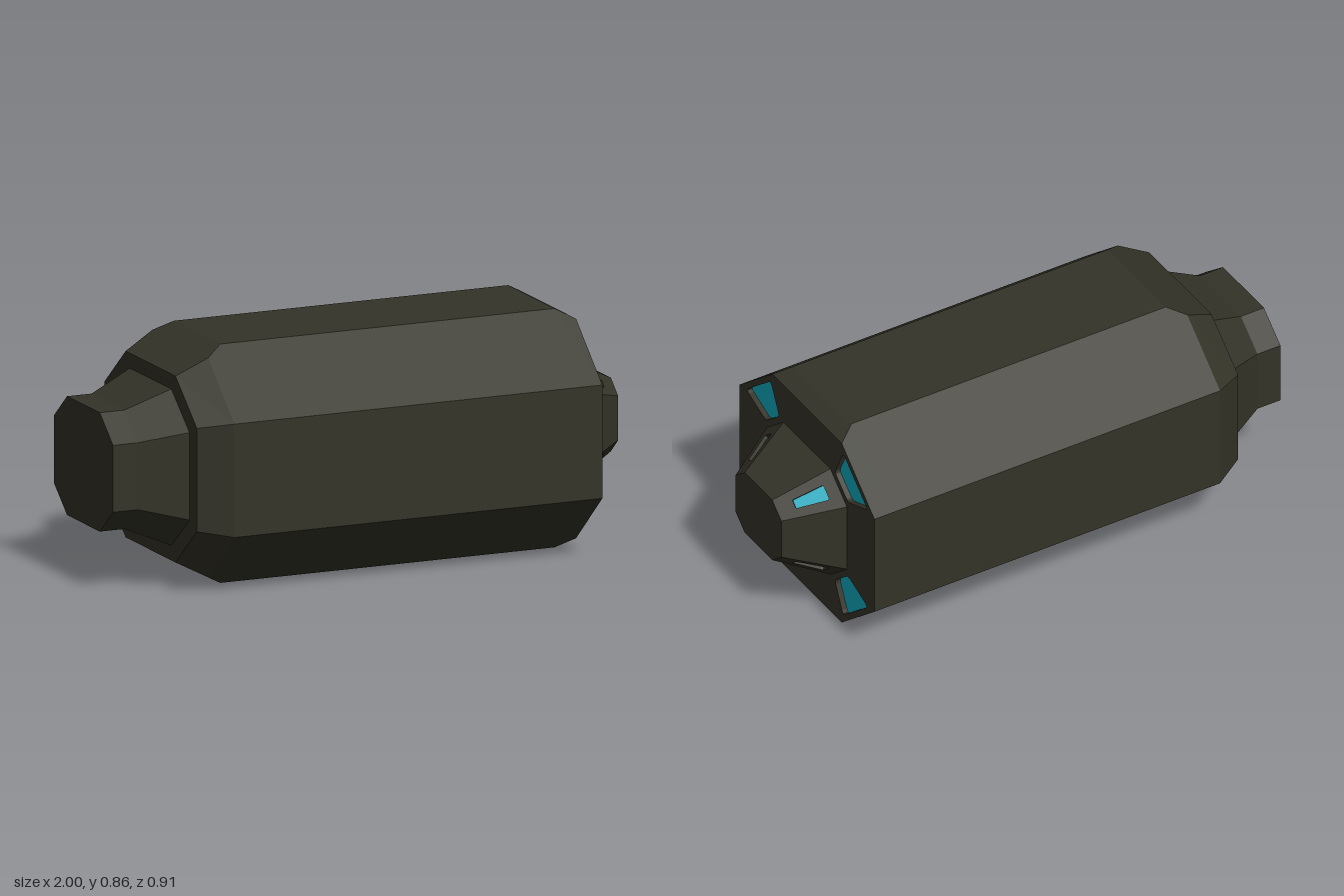
import * as THREE from 'three';

const CY = 0.433; // height of the long axis

// Eight corners of a section: half height H, half width W, top half width a, side half height b
function section([x, H, W, a, b]) {
  return [[H, a], [b, W], [-b, W], [-H, a], [-H, -a], [-b, -W], [b, -W], [H, -a]]
    .map(([y, z]) => new THREE.Vector3(x, CY + y, z));
}

function fromTriangles(points) {
  const g = new THREE.BufferGeometry().setFromPoints(points);
  g.computeVertexNormals();
  return g;
}

// Faceted hull through a row of sections, with optional end caps and open diagonal faces
function loft(rows, { backCap = false, frontCap = false, openDiagonals = false } = {}) {
  const rings = rows.map(section), tris = [];
  for (let r = 0; r < rings.length - 1; r++) {
    const A = rings[r], B = rings[r + 1];
    for (let i = 0; i < 8; i++) {
      if (openDiagonals && i % 2 === 0) continue;
      const j = (i + 1) % 8;
      tris.push(A[i], A[j], B[j], A[i], B[j], B[i]);
    }
  }
  const first = rings[0], last = rings[rings.length - 1];
  for (let i = 1; i < 7; i++) {
    if (backCap) tris.push(first[0], first[i + 1], first[i]);
    if (frontCap) tris.push(last[0], last[i], last[i + 1]);
  }
  return fromTriangles(tris);
}

// Closed outline with rounded corners
function rounded(pts, k) {
  const path = new THREE.Path();
  pts.forEach((p, i) => {
    const prev = pts[(i + pts.length - 1) % pts.length], next = pts[(i + 1) % pts.length];
    const r = k * Math.min(p.distanceTo(prev), p.distanceTo(next));
    const s = p.clone().add(prev.clone().sub(p).setLength(r));
    const e = p.clone().add(next.clone().sub(p).setLength(r));
    if (i === 0) path.moveTo(s.x, s.y); else path.lineTo(s.x, s.y);
    path.quadraticCurveTo(p.x, p.y, e.x, e.y);
  });
  path.closePath();
  const out = path.getPoints(4);
  if (out[0].distanceTo(out[out.length - 1]) < 1e-6) out.pop();
  return THREE.ShapeUtils.isClockWise(out) ? out.reverse() : out;
}

// Flat panel facing +x with sunken windows
function windowPanel(name, corners, windows, depth, hull, glass) {
  const group = new THREE.Group();
  group.name = name;
  const o = corners[0];
  const u = corners[1].clone().sub(o).normalize();
  const n = u.clone().cross(corners[2].clone().sub(o)).normalize();
  if (n.x < 0) n.negate();
  const v = n.clone().cross(u);
  const flat = p => { const d = p.clone().sub(o); return new THREE.Vector2(d.dot(u), d.dot(v)); };
  group.matrixAutoUpdate = true;
  group.quaternion.setFromRotationMatrix(new THREE.Matrix4().makeBasis(u, v, n));
  group.position.copy(o);

  const add = (part, geo, mat) => {
    const m = new THREE.Mesh(geo, mat);
    m.name = part;
    group.add(m);
    return m;
  };
  const face = new THREE.Shape(corners.map(flat));
  for (const w of windows) {
    const rim = rounded(w.map(flat), 0.14), walls = [];
    face.holes.push(new THREE.Path(rim));
    rim.forEach((p, i) => {
      const q = rim[(i + 1) % rim.length];
      const [a, b, c, d] = [[p, 0], [q, 0], [q, -depth], [p, -depth]]
        .map(([t, z]) => new THREE.Vector3(t.x, t.y, z));
      walls.push(a, b, c, a, c, d);
    });
    add('windowRim', fromTriangles(walls), hull);
    add('window', new THREE.ShapeGeometry(new THREE.Shape(rim)), glass).position.z = -depth;
  }
  add('panel', new THREE.ShapeGeometry(face), hull);
  return group;
}

export function createModel() {
  const model = new THREE.Group();
  model.name = 'capsule';
  const hull = new THREE.MeshStandardMaterial({ color: 0x343328 });
  hull.name = 'dark olive hull';
  const glass = new THREE.MeshStandardMaterial({ color: 0x10a8bc });
  glass.name = 'cyan glass';
  const add = (name, geo) => {
    const m = new THREE.Mesh(geo, hull);
    m.name = name;
    model.add(m);
  };

  // Main octagonal body, bevelled at both ends
  const bodyEnd = [0.8, 0.397, 0.456, 0.235, 0.205];
  add('body', loft([
    [-0.74, 0.337, 0.39, 0.21, 0.187],
    [-0.625, 0.397, 0.456, 0.235, 0.205],
    [-0.56, 0.432, 0.456, 0.195, 0.205],
    [0.735, 0.432, 0.456, 0.195, 0.205],
    bodyEnd,
  ], { backCap: true }));

  // Tapered neck and end collar
  add('neck', loft([
    [-1, 0.215, 0.25, 0.138, 0.121],
    [-0.905, 0.215, 0.25, 0.138, 0.121],
    [-0.74, 0.283, 0.328, 0.175, 0.158],
  ], { backCap: true }));

  // Tapered nose; its diagonal faces are window panels
  const noseRows = [[0.8, 0.234, 0.27, 0.158, 0.138], [1, 0.133, 0.155, 0.093, 0.08]];
  add('nose', loft(noseRows, { frontCap: true, openDiagonals: true }));

  const mirrors = [[1, 1], [1, -1], [-1, 1], [-1, -1]];

  // End plate with four large corner windows
  const large = [[0.215, 0.41], [0.358, 0.245], [0.24, 0.188], [0.164, 0.277]];
  model.add(windowPanel('endPlate', section(bodyEnd),
    mirrors.map(([sy, sz]) => large.map(([y, z]) => new THREE.Vector3(0.8, CY + sy * y, sz * z))),
    0.02, hull, glass));

  // Nose panels, each with one small window
  const [base, tip] = noseRows.map(section);
  for (let i = 0; i < 8; i += 2) {
    const c = [base[i], base[i + 1], tip[i + 1], tip[i]];
    const at = (f, t) => c[0].clone().lerp(c[1], f).lerp(c[3].clone().lerp(c[2], f), t);
    const small = [at(0.29, 0.2), at(0.71, 0.2), at(0.66, 0.72), at(0.34, 0.72)];
    model.add(windowPanel('nosePanel', c, [small], 0.012, hull, glass));
  }
  return model;
}
